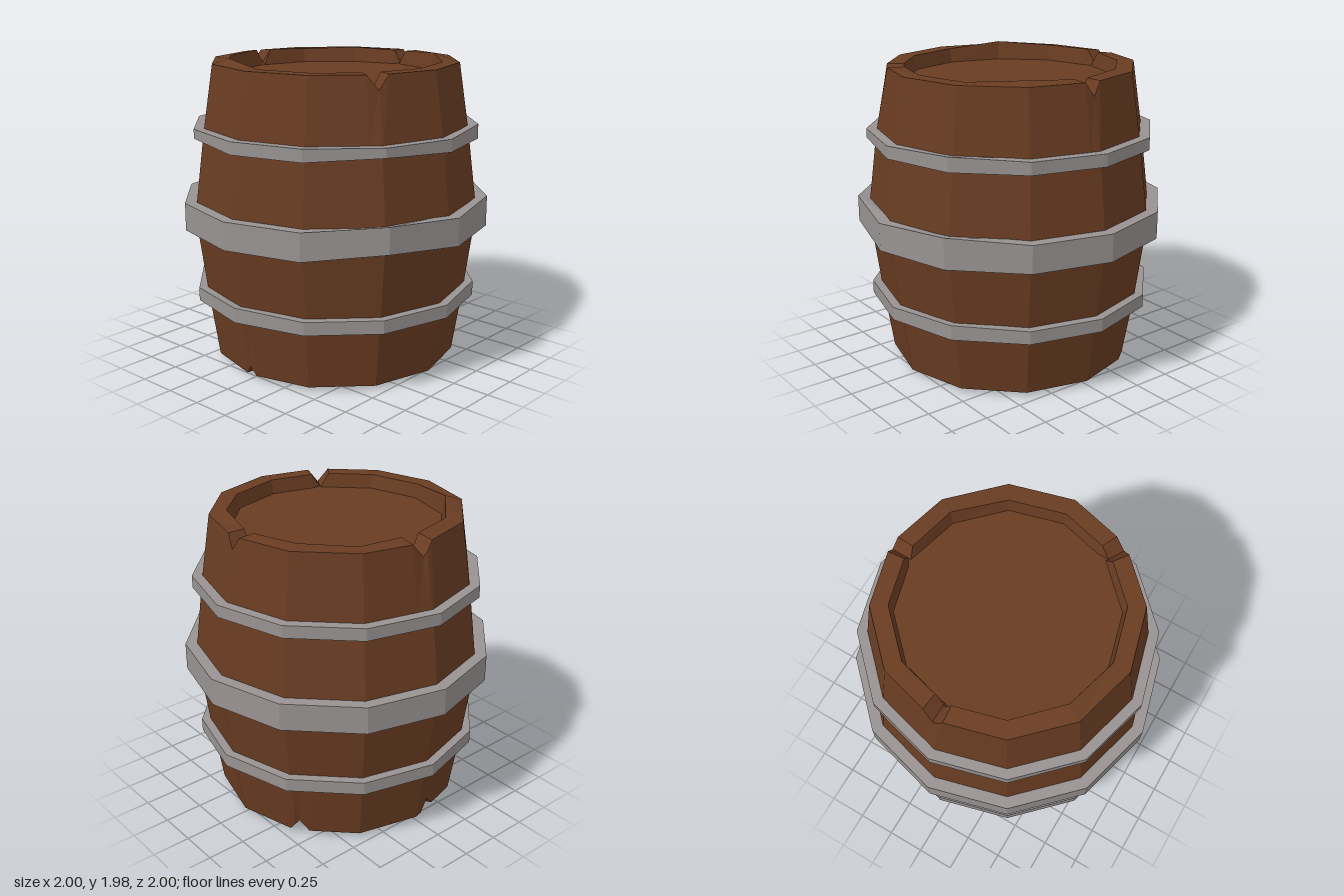
import * as THREE from 'three';

const SIDES = 12, STEP = 360 / SIDES;
const RAD = Math.PI / 180;
const wood = new THREE.MeshStandardMaterial({ color: 0x693c22, flatShading: true });
const iron = new THREE.MeshStandardMaterial({ color: 0x989292, flatShading: true });

// Point at angle a (degrees) on a regular polygon whose corners lie at radius r
function polygonPoint(r, a, y) {
  const off = (((a % STEP) + STEP) % STEP) - STEP / 2;
  const d = r * Math.cos(STEP / 2 * RAD) / Math.cos(off * RAD);
  return [d * Math.cos(a * RAD), y, d * Math.sin(a * RAD)];
}

// Skins rows of rings; each row is { r, y(angle) }, ordered bottom to top around the outside
function loft(angles, rows, closed) {
  const pos = [], idx = [], n = angles.length;
  for (const row of rows) for (const a of angles) pos.push(...polygonPoint(row.r, a, row.y(a)));
  const last = closed ? rows.length : rows.length - 1;
  for (let i = 0; i < last; i++) {
    const i2 = (i + 1) % rows.length;
    for (let j = 0; j < n; j++) {
      const k = (j + 1) % n;
      const a = i * n + j, b = i2 * n + j, c = i2 * n + k, d = i * n + k;
      if (rows[i].r > 0) idx.push(a, b, d);
      if (rows[i2].r > 0) idx.push(b, c, d);
    }
  }
  const indexed = new THREE.BufferGeometry();
  indexed.setAttribute('position', new THREE.Float32BufferAttribute(pos, 3));
  indexed.setIndex(idx);
  const geo = indexed.toNonIndexed();
  geo.computeVertexNormals();
  return geo;
}

// Unevenness given at some corners (angle: offset), fading to the neighbouring corners
const uneven = (map) => (a) => {
  const k = Math.floor(a / STEP), t = a / STEP - k;
  const at = (i) => map[(i % SIDES) * STEP] || 0;
  return at(k) * (1 - t) + at(k + 1) * t;
};

// V-shaped chips: [centre angle, half width, depth]
const topChips = [[30, 5, 0.09], [182, 5, 0.085], [270, 4, 0.085]];
const bottomChips = [[90, 3, 0.055], [171, 5, 0.07], [238, 4.5, 0.08]];
const chipDepth = (chips) => (a) =>
  chips.reduce((s, [c, w, d]) => s + d * Math.max(0, 1 - Math.abs(a - c) / w), 0);

function buildBody() {
  const set = new Set();
  for (let k = 0; k < SIDES; k++) set.add(k * STEP);
  for (const [c, w] of [...topChips, ...bottomChips]) [c - w, c, c + w].forEach((a) => set.add(a));
  const angles = [...set].sort((a, b) => a - b);

  const topChip = chipDepth(topChips), bottomChip = chipDepth(bottomChips);
  const topWear = uneven({ 120: 0.03, 150: 0.012, 180: 0.015, 300: 0.018, 240: 0.008 });
  const bottomWear = uneven({ 120: 0.022, 150: 0.025, 180: 0.022, 60: 0.005 });
  const flat = (y) => () => y;
  const rows = [
    { r: 0, y: flat(0.12) },                                   // bottom head
    { r: 0.67, y: flat(0.12) },
    { r: 0.69, y: (a) => 0.027 - bottomWear(a) + bottomChip(a) }, // bottom rim
    { r: 0.8, y: (a) => 0.03 + bottomChip(a) },
    { r: 0.865, y: flat(0.46) },                               // bulging staves
    { r: 0.935, y: flat(0.99) },
    { r: 0.868, y: flat(1.51) },
    { r: 0.8, y: (a) => 1.95 - topChip(a) },                   // top rim
    { r: 0.69, y: (a) => 1.95 + topWear(a) - topChip(a) },
    { r: 0.67, y: flat(1.86) },                                // top head
    { r: 0, y: flat(1.86) },
  ];
  const mesh = new THREE.Mesh(loft(angles, rows, false), wood);
  mesh.name = 'barrelBody';
  return mesh;
}

// Metal band with slightly bent outer edges
function buildHoop(name, inner, outer, y0, y1, bentBottom, bentTop) {
  const angles = Array.from({ length: SIDES }, (_, k) => k * STEP);
  const low = uneven(bentBottom), high = uneven(bentTop);
  const rows = [
    { r: inner, y: () => y0 },
    { r: outer, y: (a) => y0 + low(a) },
    { r: outer, y: (a) => y1 + high(a) },
    { r: inner, y: () => y1 },
  ];
  const mesh = new THREE.Mesh(loft(angles, rows, true), iron);
  mesh.name = name;
  return mesh;
}

export function createModel() {
  const group = new THREE.Group();
  group.name = 'barrel';
  group.add(
    buildBody(),
    buildHoop('lowerHoop', 0.84, 0.928, 0.42, 0.505, {}, { 90: 0.01, 330: 0.01 }),
    buildHoop('middleHoop', 0.9, 1.0, 0.9, 1.078, { 30: 0.035 }, { 30: 0.025, 330: 0.02 }),
    buildHoop('upperHoop', 0.84, 0.928, 1.47, 1.55, { 30: 0.02, 120: 0.02 }, { 330: 0.013 }),
  );
  return group;
}
